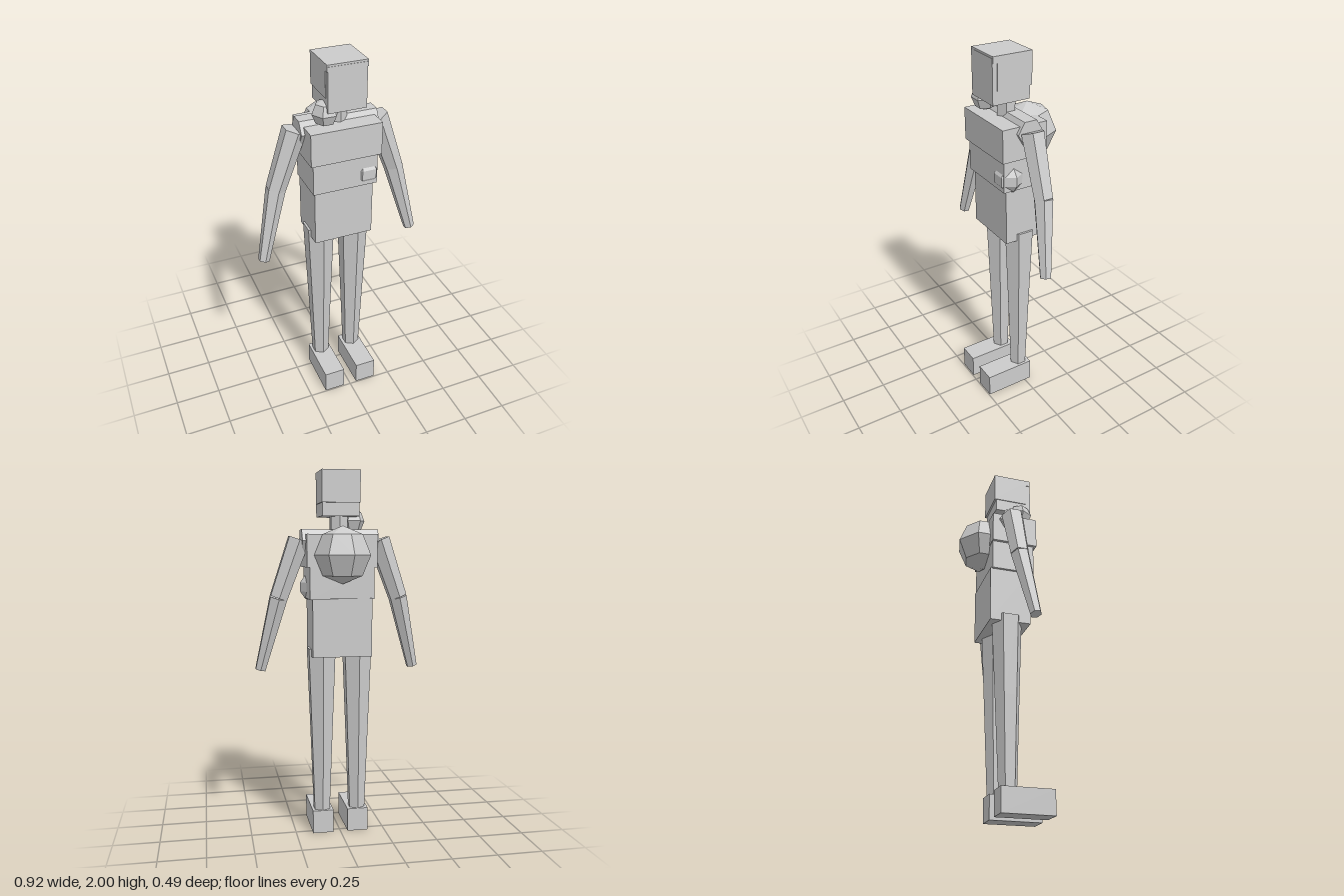
import * as THREE from 'three';

export function createModel() {
  const model = new THREE.Group();
  const grey = new THREE.MeshStandardMaterial({ color: 0xcccccc });
  grey.name = 'grey';

  const add = (name, geometry) => {
    const flat = geometry.index ? geometry.toNonIndexed() : geometry;
    flat.computeVertexNormals(); // faceted normals
    const mesh = new THREE.Mesh(flat, grey);
    mesh.name = name;
    model.add(mesh);
    return mesh;
  };

  // Box given by its limits on each axis
  const box = (name, [x0, x1], [y0, y1], [z0, z1]) =>
    add(name, new THREE.BoxGeometry(x1 - x0, y1 - y0, z1 - z0))
      .position.set((x0 + x1) / 2, (y0 + y1) / 2, (z0 + z1) / 2);

  // Six-sided tapered limb between two points
  const limb = (name, from, to, rFrom, rTo) => {
    const a = new THREE.Vector3(...from), b = new THREE.Vector3(...to);
    const mesh = add(name, new THREE.CylinderGeometry(rFrom, rTo, a.distanceTo(b), 6));
    mesh.position.copy(a).add(b).multiplyScalar(0.5);
    mesh.quaternion.setFromUnitVectors(new THREE.Vector3(0, 1, 0), a.sub(b).normalize());
  };

  // Coarse faceted ball
  const ball = (name, [x, y, z], r, around, rows, turn = 0) => {
    const mesh = add(name, new THREE.SphereGeometry(r, around, rows));
    mesh.position.set(x, y, z);
    mesh.rotation.y = turn;
  };

  // Head with a slightly larger cap and back
  box('head', [-0.1, 0.1], [1.76, 1.99], [-0.045, 0.165]);
  box('headTop', [-0.104, 0.104], [1.965, 2], [-0.055, 0.163]);
  box('headBack', [-0.104, 0.104], [1.83, 1.99], [-0.055, 0.14]);
  limb('neck', [0, 1.78, 0.03], [0, 1.62, 0.03], 0.052, 0.052);

  // Torso, stepped in three blocks
  box('chest', [-0.19, 0.19], [1.49, 1.665], [-0.09, 0.165]);
  box('midriff', [-0.175, 0.175], [1.32, 1.49], [-0.087, 0.15]);
  box('waist', [-0.162, 0.162], [1.01, 1.325], [-0.095, 0.13]);
  limb('shoulderBar', [0.208, 1.63, 0.017], [-0.208, 1.63, 0.017], 0.07, 0.07);

  // Faceted attachments
  ball('backPack', [0, 1.555, -0.095], 0.153, 7, 4, Math.PI);
  ball('shoulderBall', [-0.09, 1.74, 0.1], 0.07, 6, 4);
  ball('chestBall', [0.128, 1.38, 0.093], 0.08, 6, 5);

  for (const [side, s] of [['left', 1], ['right', -1]]) {
    // Arms bend forward at the elbow
    const elbow = [s * 0.332, 1.325, 0.018];
    limb(side + 'UpperArm', [s * 0.22, 1.637, 0.015], elbow, 0.064, 0.053);
    limb(side + 'Forearm', elbow, [s * 0.432, 0.93, 0.062], 0.053, 0.031);

    // Legs and block feet
    const knee = [s * 0.1, 0.6, 0.015];
    limb(side + 'Thigh', [s * 0.1, 1.05, 0.015], knee, 0.085, 0.067);
    limb(side + 'Shin', knee, [s * 0.1, 0.1, 0.015], 0.067, 0.048);
    const foot = s > 0 ? [0.04, 0.157] : [-0.157, -0.04];
    box(side + 'Foot', foot, [0, 0.13], [-0.037, 0.245]);
  }
  return model;
}
